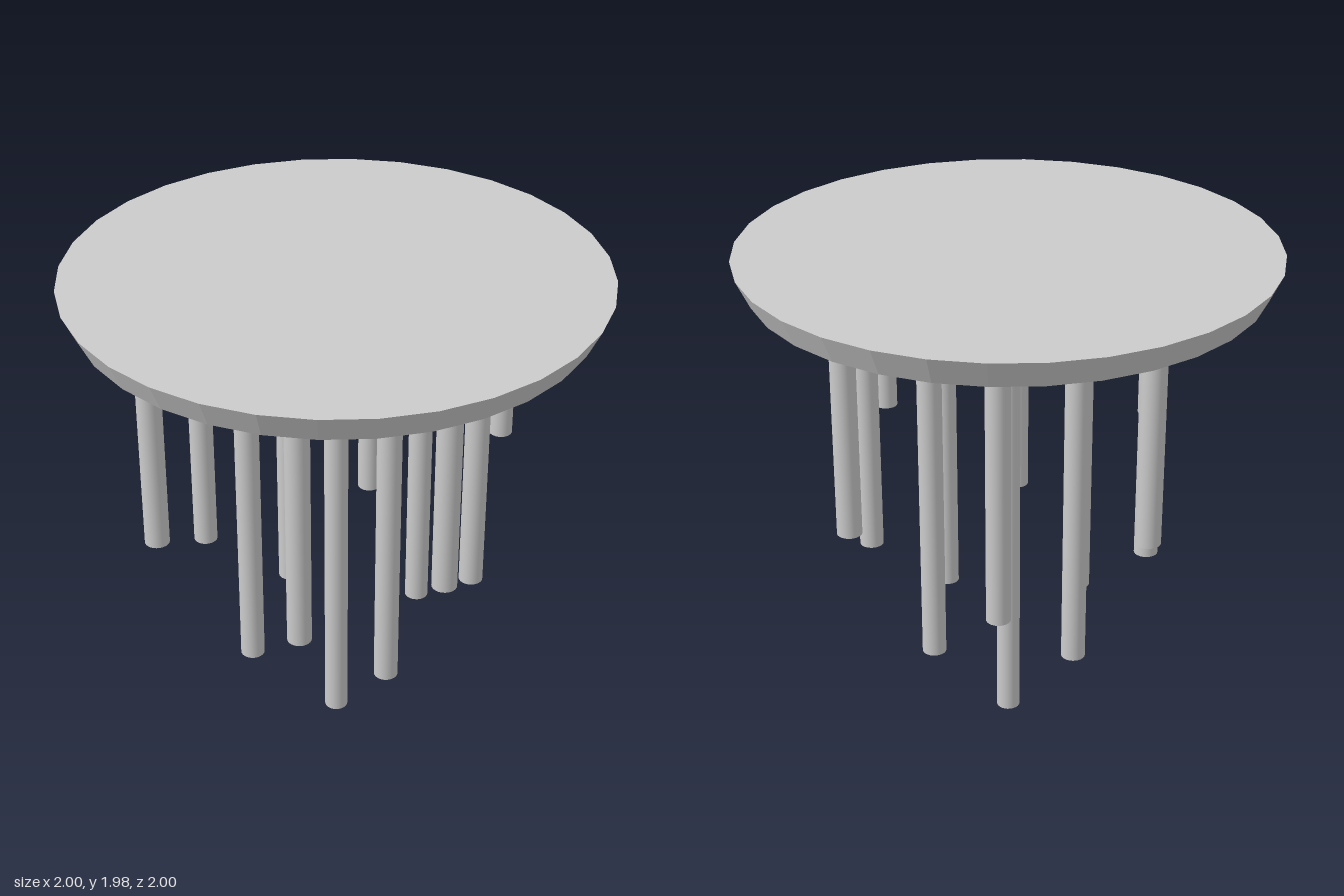
import * as THREE from 'three';

export function createModel() {
  const group = new THREE.Group();
  group.name = 'pendantRodCeilingLamp';

  const grey = new THREE.MeshStandardMaterial({ color: 0xcccccc });
  const greyFlat = new THREE.MeshStandardMaterial({ color: 0xcccccc, flatShading: true });
  const lens = new THREE.MeshStandardMaterial({ color: 0x54dcfa });

  const plateTop = 1.975, plateBottom = 1.87;
  const spacing = 0.379, rodRadius = 0.046, sides = 24;

  // Tapered ceiling plate
  const plate = new THREE.Mesh(
    new THREE.CylinderGeometry(1, 0.95, plateTop - plateBottom, 32), greyFlat);
  plate.name = 'ceilingPlate';
  plate.position.y = (plateTop + plateBottom) / 2;
  group.add(plate);

  // One hanging rod with a coloured lens closing its lower end
  function addRod(x, z, bottom) {
    const rod = new THREE.Group();
    rod.name = 'pendantRod';
    rod.position.set(x, 0, z);

    const length = plateBottom - bottom;
    const tube = new THREE.Mesh(
      new THREE.CylinderGeometry(rodRadius, rodRadius, length, sides, 1, true), grey);
    tube.name = 'rodTube';
    tube.position.y = bottom + length / 2;

    const tip = new THREE.Mesh(new THREE.CircleGeometry(rodRadius, sides), lens);
    tip.name = 'lightLens';
    tip.rotation.x = Math.PI / 2;
    tip.position.y = bottom;

    rod.add(tube, tip);
    group.add(rod);
  }

  // Diamond of 13 rods on a square grid, shorter towards the rim
  const bottoms = { 0: 0, 1: 0.42, 2: 0.735, 4: 1.08 }; // by squared grid distance
  for (let i = -2; i <= 2; i++) {
    for (let j = -2; j <= 2; j++) {
      if (Math.abs(i) + Math.abs(j) > 2) continue;
      addRod(i * spacing, j * spacing, bottoms[i * i + j * j]);
    }
  }

  return group;
}
